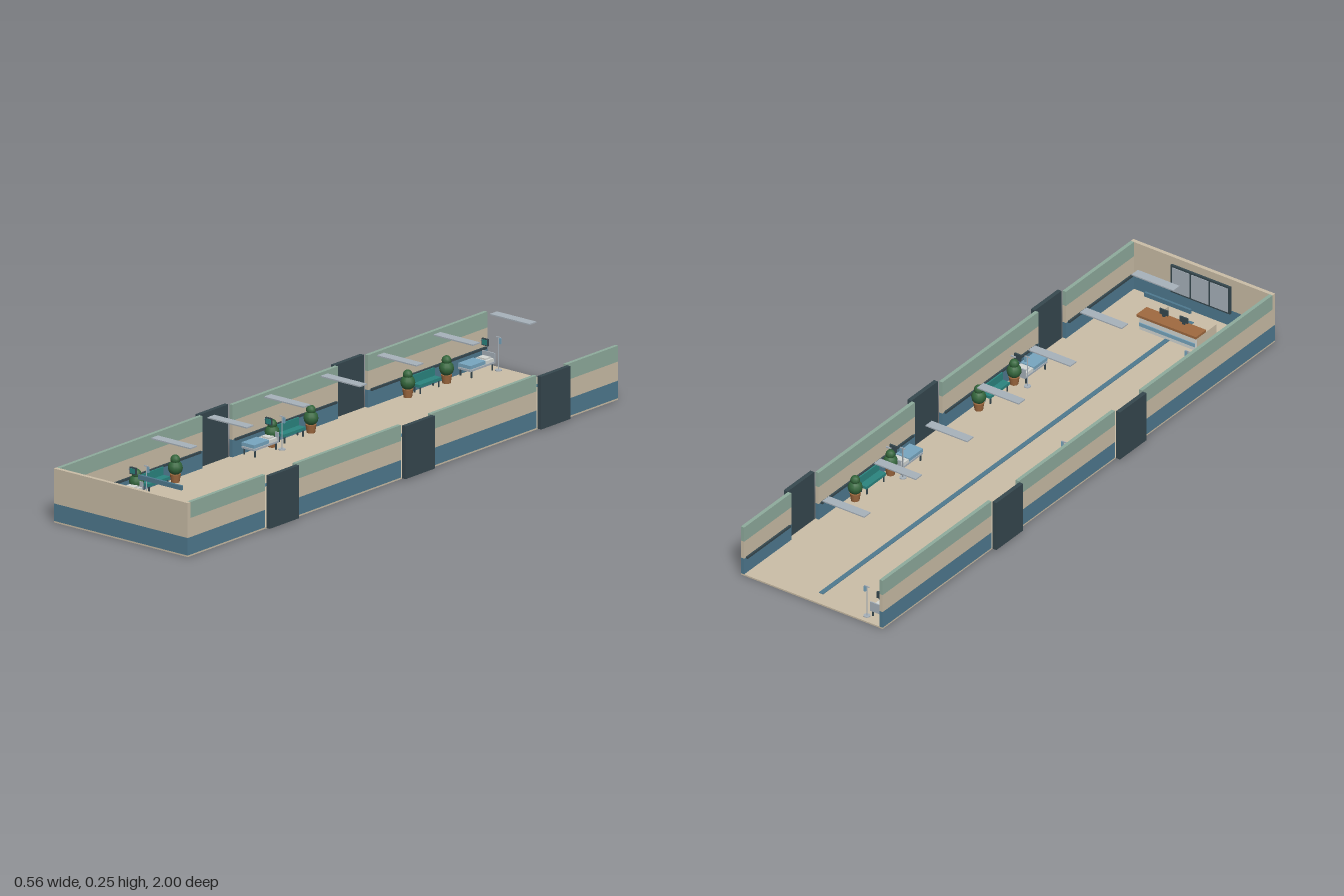
import * as THREE from 'three';

const mat = (name, color) => {
  const m = new THREE.MeshStandardMaterial({ color });
  m.name = name;
  return m;
};

export function createModel() {
  const M = {
    beige: mat('beige', 0xcbbea7),
    blue: mat('bandBlue', 0x4f7a90),
    sage: mat('sageGreen', 0x8fac9d),
    dark: mat('darkSlate', 0x36484f),
    grey: mat('lightGrey', 0xa8b2bb),
    wood: mat('wood', 0xa06a40),
    teal: mat('teal', 0x2b8580),
    leaf: mat('leafGreen', 0x34663c),
    sky: mat('blanketBlue', 0x78a6c0),
    pale: mat('paleLinen', 0xd5d8d4),
  };
  const root = new THREE.Group();
  root.name = 'ward';

  const add = (parent, name, geo, m, x = 0, y = 0, z = 0) => {
    const mesh = new THREE.Mesh(geo, m);
    mesh.name = name;
    mesh.position.set(x, y, z);
    parent.add(mesh);
    return mesh;
  };
  // box given by its limits on each axis
  const box = (parent, name, m, x0, x1, y0, y1, z0, z1) =>
    add(parent, name, new THREE.BoxGeometry(Math.abs(x1 - x0), y1 - y0, z1 - z0), m,
      (x0 + x1) / 2, (y0 + y1) / 2, (z0 + z1) / 2);
  const group = (name, x, z, side = 1) => {
    const g = new THREE.Group();
    g.name = name;
    g.position.set(x, 0, z);
    if (side < 0) g.rotation.y = Math.PI;
    root.add(g);
    return g;
  };

  // floor and guide line
  box(root, 'floor', M.beige, -0.262, 0.262, 0, 0.005, -1, 1);
  box(root, 'guideLine', M.blue, -0.008, 0.008, 0.005, 0.007, -0.953, 0.937);

  // end wall
  box(root, 'endWallLower', M.blue, -0.262, 0.262, 0.005, 0.06, 0.987, 1);
  box(root, 'endWallUpper', M.beige, -0.262, 0.262, 0.06, 0.17, 0.987, 1);

  // side walls in three bands, with openings behind the sliding doors
  const bands = [['Lower', M.blue, 0.005, 0.06], ['Middle', M.beige, 0.06, 0.12], ['Upper', M.sage, 0.12, 0.17]];
  const doors = { '1': [-0.69, -0.06, 0.57], '-1': [-0.376, 0.254] };
  for (const s of [1, -1]) {
    const edges = [-1];
    for (const z of doors[s]) {
      edges.push(z - 0.07, z + 0.07);
      box(root, 'slidingDoor', M.dark, s * 0.265, s * 0.279, 0.003, 0.169, z - 0.068, z + 0.068);
    }
    edges.push(0.987);
    for (let i = 0; i < edges.length; i += 2) {
      for (const [n, m, y0, y1] of bands)
        box(root, 'sideWall' + n, m, s * 0.25, s * 0.262, y0, y1, edges[i], edges[i + 1]);
      box(root, 'handrail', M.dark, s * 0.244, s * 0.25, 0.056, 0.063, edges[i] + 0.01, edges[i + 1] - 0.01);
    }
  }

  // hanging light panels
  for (let i = 0; i < 7; i++) {
    const z = -0.823 + i * 0.2625;
    box(root, 'lightPanel', M.grey, -0.077, 0.077, 0.243, 0.247, z - 0.016, z + 0.016);
  }

  // potted plant
  const plant = (x, z) => {
    const g = group('pottedPlant', x, z);
    add(g, 'pot', new THREE.CylinderGeometry(0.017, 0.013, 0.026, 12), M.wood, 0, 0.018, 0);
    add(g, 'foliage', new THREE.SphereGeometry(0.023, 12, 8), M.leaf, 0, 0.051, 0);
    add(g, 'foliageTop', new THREE.SphereGeometry(0.015, 10, 8), M.leaf, 0, 0.076, 0);
  };

  // bench backing onto the wall on its +x side
  const bench = (s, z) => {
    const g = group('bench', s * 0.23, z, s);
    box(g, 'benchSeat', M.teal, -0.016, 0.014, 0.026, 0.035, -0.05, 0.05);
    box(g, 'benchBack', M.teal, 0.009, 0.014, 0.035, 0.06, -0.05, 0.05);
    for (const x of [-0.012, 0.01]) for (const lz of [-0.043, 0.043])
      box(g, 'benchLeg', M.dark, x - 0.002, x + 0.002, 0.005, 0.026, lz - 0.002, lz + 0.002);
  };

  // bed with its head towards -z, drip stand and monitor
  const bed = (s, end) => {
    const g = group('bed', s * 0.22, end);
    box(g, 'bedFrame', M.grey, -0.025, 0.025, 0.026, 0.032, -0.112, 0);
    box(g, 'mattress', M.pale, -0.023, 0.023, 0.032, 0.042, -0.11, -0.002);
    box(g, 'blanket', M.sky, -0.0245, 0.0245, 0.034, 0.045, -0.07, 0);
    box(g, 'pillow', M.pale, -0.015, 0.015, 0.042, 0.047, -0.104, -0.08);
    box(g, 'headboard', M.grey, -0.025, 0.025, 0.026, 0.058, -0.115, -0.111);
    for (const x of [-0.021, 0.021]) for (const z of [-0.105, -0.008])
      box(g, 'bedLeg', M.dark, x - 0.002, x + 0.002, 0.005, 0.026, z - 0.002, z + 0.002);
    // drip stand
    const px = -s * 0.035, pz = -0.117;
    add(g, 'standBase', new THREE.CylinderGeometry(0.011, 0.011, 0.003, 10), M.grey, px, 0.0065, pz);
    add(g, 'standPole', new THREE.CylinderGeometry(0.0018, 0.0018, 0.105, 8), M.grey, px, 0.058, pz);
    box(g, 'standHook', M.grey, px - 0.009, px + 0.009, 0.108, 0.111, pz - 0.0015, pz + 0.0015);
    box(g, 'dripBag', M.sky, px + 0.004, px + 0.011, 0.09, 0.108, pz - 0.002, pz + 0.002);
    // bedside monitor
    box(g, 'monitorArm', M.grey, s * 0.012, s * 0.03, 0.086, 0.09, -0.114, -0.11);
    box(g, 'monitor', M.dark, -s * 0.004, s * 0.02, 0.077, 0.099, -0.11, -0.104);
    box(g, 'monitorScreen', M.teal, -s * 0.002, s * 0.018, 0.08, 0.096, -0.104, -0.103);
  };

  // furniture along both walls
  const seating = [[-1, -0.693], [-1, -0.063], [-1, 0.567], [1, -0.376], [1, 0.254]];
  for (const [s, z] of seating) {
    bench(s, z);
    for (const d of [-0.09, 0.09]) plant(s * 0.227, z + d);
  }
  for (const [s, z] of [[-1, -0.857], [-1, 0.148], [-1, 0.778], [1, -0.164], [1, 0.471]]) bed(s, z);

  // reception desk
  const desk = group('receptionDesk', 0, 0);
  box(desk, 'deskFront', M.pale, -0.102, 0.102, 0.005, 0.05, 0.812, 0.822);
  box(desk, 'deskStripe', M.sky, -0.102, 0.102, 0.018, 0.03, 0.809, 0.812);
  box(desk, 'deskTop', M.wood, -0.11, 0.11, 0.05, 0.058, 0.806, 0.858);
  for (const s of [1, -1]) {
    box(desk, 'deskWing', M.beige, s * 0.07, s * 0.105, 0.005, 0.045, 0.822, 0.917);
    box(desk, 'screenFoot', M.dark, s * 0.032, s * 0.042, 0.058, 0.064, 0.842, 0.848);
    box(desk, 'deskScreen', M.dark, s * 0.022, s * 0.052, 0.064, 0.082, 0.843, 0.848);
  }
  // sign bar above the desk
  box(root, 'hangingSign', M.blue, -0.085, 0.085, 0.128, 0.142, 0.811, 0.819);

  // board with three panes on the end wall
  box(root, 'boardFrame', M.dark, -0.11, 0.11, 0.05, 0.145, 0.979, 0.987);
  for (const x of [-0.071, 0, 0.071])
    box(root, 'boardPane', M.grey, x - 0.032, x + 0.032, 0.056, 0.139, 0.977, 0.979);

  return root;
}
